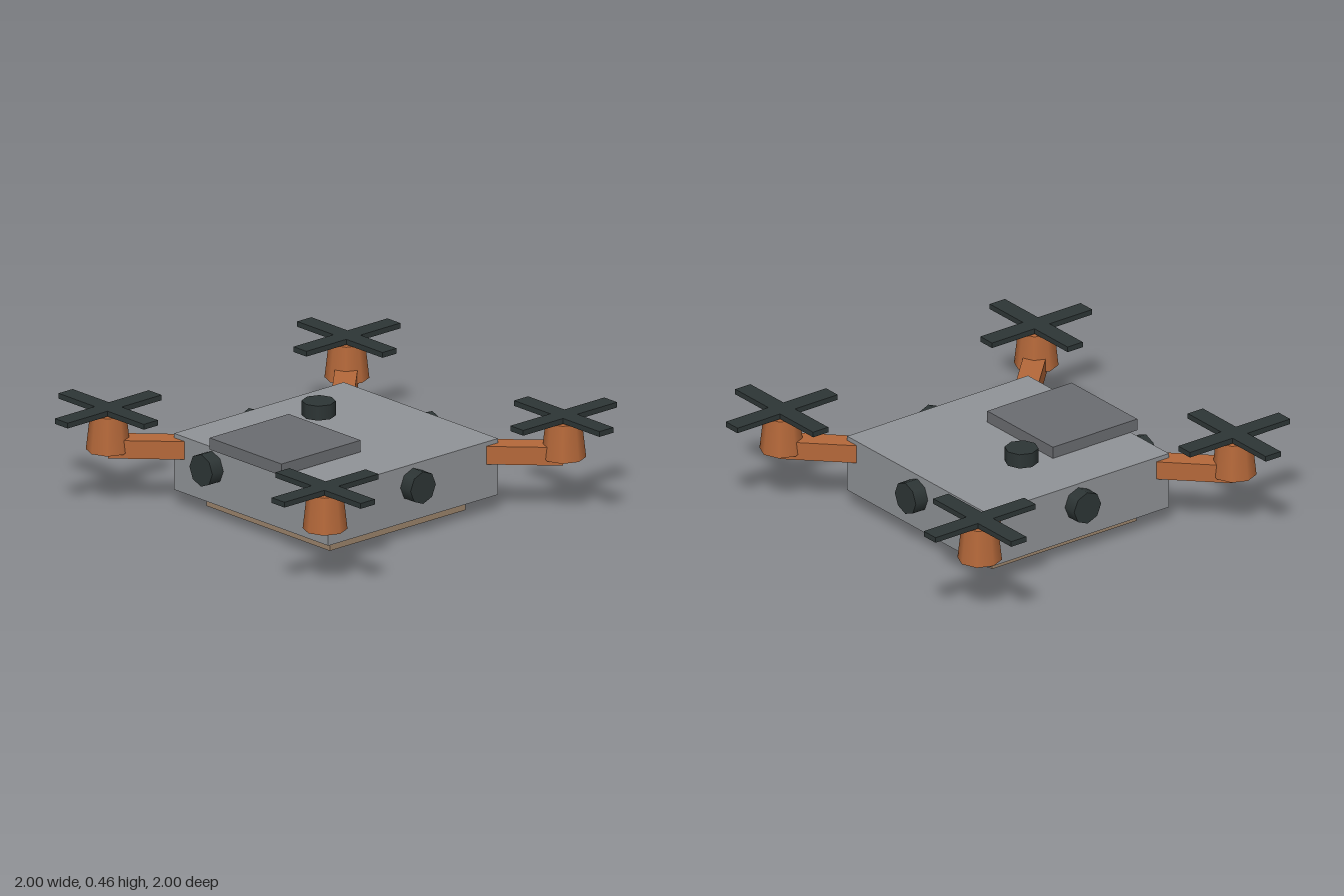
import * as THREE from 'three';

const paint = (name, color) => {
  const m = new THREE.MeshStandardMaterial({ color });
  m.name = name;
  return m;
};

export function createModel() {
  const grey = paint('hull grey', 0x909397);
  const darkGrey = paint('hatch grey', 0x6a6c70);
  const orange = paint('copper orange', 0xb4683a);
  const black = paint('dark slate', 0x2d3535);
  const tan = paint('base tan', 0x9b836b);

  const model = new THREE.Group();
  model.name = 'drone';

  const add = (parent, name, geometry, material, x, y, z) => {
    const mesh = new THREE.Mesh(geometry, material);
    mesh.name = name;
    mesh.position.set(x, y, z);
    parent.add(mesh);
    return mesh;
  };
  const box = (w, h, d) => new THREE.BoxGeometry(w, h, d);

  // Hull, belly plate and top hatch
  add(model, 'body', box(1.02, 0.265, 1.02), grey, 0, 0.2075, 0);
  add(model, 'bellyPlate', box(0.815, 0.08, 0.815), tan, 0, 0.04, 0);
  add(model, 'hatch', box(0.476, 0.055, 0.476), darkGrey, 0, 0.37, 0.306);

  // Octagonal sensors on five sides
  const sensor = new THREE.CylinderGeometry(0.076, 0.076, 0.068, 8);
  const h = Math.PI / 2;
  const sensors = [
    ['frontSensor', -0.26, 0.245, 0.542, h, 0],
    ['backSensor', 0, 0.245, -0.545, -h, 0],
    ['leftSensor', 0.543, 0.245, 0, 0, -h],
    ['rightSensor', -0.543, 0.245, 0, 0, h],
    ['topSensor', -0.21, 0.397, -0.087, 0, 0],
  ];
  for (const [name, x, y, z, rx, rz] of sensors) {
    add(model, name, sensor, black, x, y, z).rotation.set(rx, 0, rz);
  }

  // Four rotor units: diagonal arm, tapered motor, crossed blades
  const arm = box(0.34, 0.085, 0.102);
  const motor = new THREE.CylinderGeometry(0.081, 0.1, 0.17, 8);
  const blade = box(0.565, 0.025, 0.085);
  for (const sx of [1, -1]) {
    for (const sz of [1, -1]) {
      const rotor = new THREE.Group();
      rotor.name = (sz > 0 ? 'front' : 'back') + (sx > 0 ? 'Left' : 'Right') + 'Rotor';
      model.add(rotor);
      add(rotor, 'arm', arm, orange, sx * 0.596, 0.277, sz * 0.596).rotation.y = -sx * sz * Math.PI / 4;
      add(rotor, 'motor', motor, orange, sx * 0.7175, 0.345, sz * 0.7175);
      add(rotor, 'bladeAcross', blade, black, sx * 0.7175, 0.448, sz * 0.7175);
      add(rotor, 'bladeAlong', blade, black, sx * 0.7175, 0.448, sz * 0.7175).rotation.y = h;
    }
  }
  return model;
}
